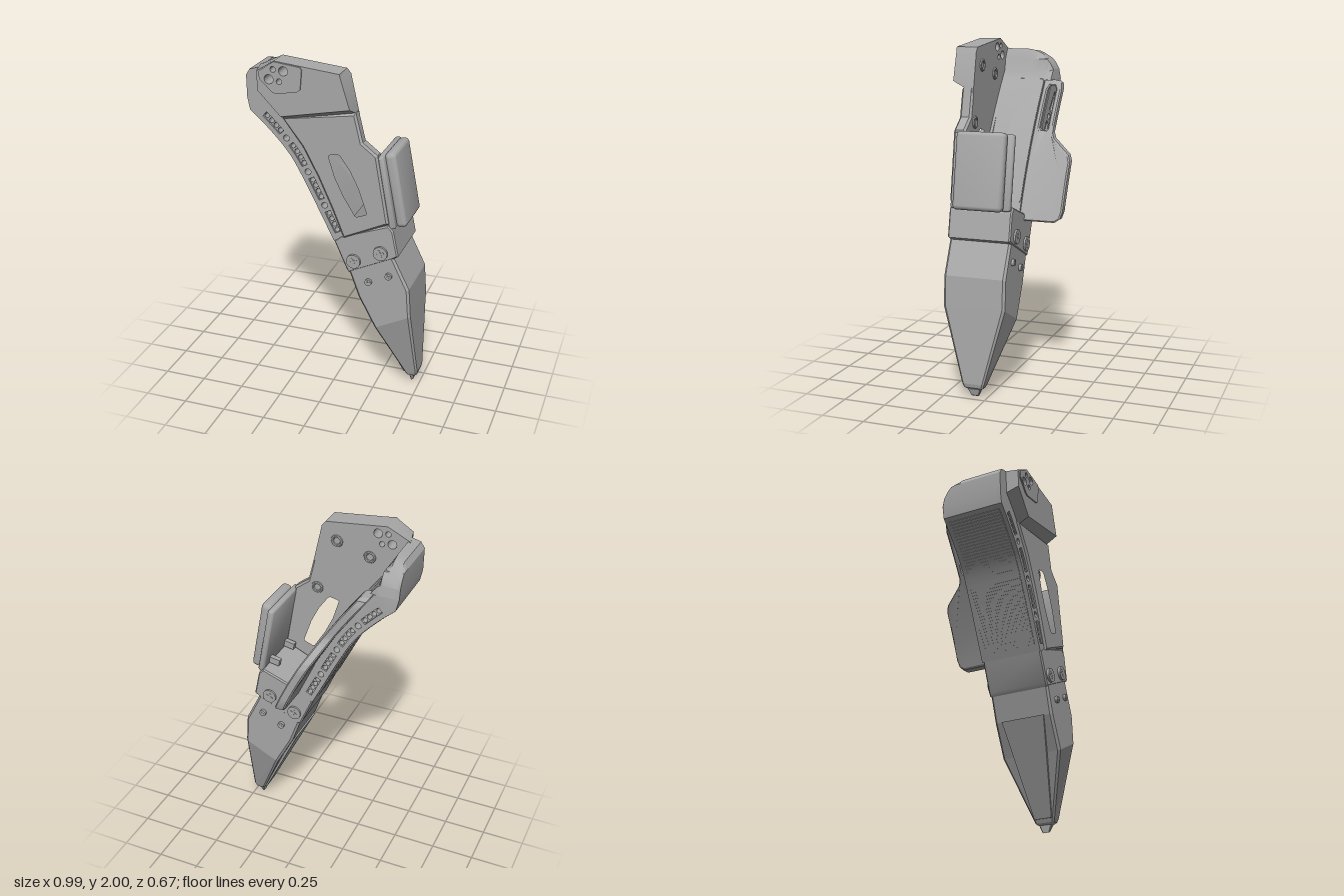
import * as THREE from 'three';
import { toCreasedNormals } from 'three/addons/utils/BufferGeometryUtils.js';
import { RoundedBoxGeometry } from 'three/addons/geometries/RoundedBoxGeometry.js';

const V = (p) => new THREE.Vector2(p[0], p[1]);

// Splits every edge of a closed outline so that it can be bent
function subdivide(pts, n) {
  return pts.flatMap((p, i) => {
    const q = pts[(i + 1) % pts.length];
    return Array.from({ length: n }, (_, k) => [p[0] + (q[0] - p[0]) * k / n, p[1] + (q[1] - p[1]) * k / n]);
  });
}

function circle(x, y, r) {
  return new THREE.Path().absarc(x, y, r, 0, Math.PI * 2);
}

// Flat outline extruded from z0 to z1, with optional holes and bevel
function slab(pts, z0, z1, { holes = [], bevel = 0, steps = 1 } = {}) {
  const shape = new THREE.Shape(pts.map(V));
  shape.holes.push(...holes);
  const g = new THREE.ExtrudeGeometry(shape, {
    depth: z1 - z0 - 2 * bevel, steps, curveSegments: 10, bevelEnabled: bevel > 0,
    bevelSize: bevel, bevelThickness: bevel, bevelOffset: -bevel, bevelSegments: 1,
  });
  return g.translate(0, 0, z0 + bevel);
}

function move(g, rule) {
  const p = g.attributes.position, v = new THREE.Vector3();
  for (let i = 0; i < p.count; i++) {
    rule(v.fromBufferAttribute(p, i));
    p.setXYZ(i, v.x, v.y, v.z);
  }
  return g;
}

// Inner curve of the spine: x as a function of y
const innerX = (y) => 0.12 - 0.5 * (y - 1) - 0.256 * (y - 1) * (y - 1.36);

// Sheet drawn in (-z, y), then wrapped along the inner curve
function bentSheet(pts, x0, x1, opts) {
  const g = slab(pts, x0, x1, opts).rotateY(Math.PI / 2);
  return move(g, (v) => { v.x += innerX(v.y); });
}

export function createModel() {
  const group = new THREE.Group();
  const grey = new THREE.MeshStandardMaterial({ color: 0xa8a8a8 });
  grey.name = 'grey';
  const add = (name, geo, parent = group) => {
    const m = new THREE.Mesh(toCreasedNormals(geo, 0.5), grey);
    m.name = name;
    parent.add(m);
    return m;
  };

  // Curved spine, pierced by rows of small holes
  const outer = new THREE.CatmullRomCurve3(
    [[-0.48, 1.68], [-0.385, 1.595], [-0.25, 1.445], [-0.145, 1.26], [-0.065, 1.1], [0.01, 0.95]]
      .map(([x, y]) => new THREE.Vector3(x, y, 0)));
  const inset = (t, d) => {
    const p = outer.getPointAt(t), n = outer.getTangentAt(t);
    return [p.x - n.y * d, p.y + n.x * d];
  };
  const spinePts = [[-0.42, 1.93], [-0.475, 1.915], [-0.497, 1.88], [-0.495, 1.75],
    ...outer.getPoints(24).map((p) => [p.x, p.y])];
  for (let i = 0; i <= 16; i++) {
    const y = 1 + i * 0.05;
    spinePts.push([innerX(y), y]);
  }
  spinePts.push([-0.385, 1.87]);
  const small = [], wide = [];
  for (let k = 0; k < 4; k++) {
    const t0 = 0.1 + k * 0.24, len = 0.12;
    for (let j = 0; j < 4; j++) small.push(circle(...inset(t0 + len * j / 3, 0.045), 0.014));
    const slot = [];
    for (let j = 0; j <= 6; j++) slot.push(inset(t0 - 0.016 + (len + 0.032) * j / 6, 0.027));
    for (let j = 6; j >= 0; j--) slot.push(inset(t0 - 0.016 + (len + 0.032) * j / 6, 0.063));
    wide.push(new THREE.Path(slot.map(V)));
    if (k < 3) {
      const c = inset(t0 + 0.18, 0.045);
      small.push(circle(...c, 0.018));
      wide.push(circle(...c, 0.018));
    }
  }
  // Rounds the rear top corner of the spine
  const roundTop = (v) => {
    const u = Math.min(1, Math.max(0, (0.08 - v.z) / 0.2));
    v.y = Math.min(v.y, 1.75 + 0.18 * Math.sqrt(1 - u * u));
  };
  add('spine', move(slab(spinePts, -0.11, 0.25, { holes: small, steps: 16 }), roundTop));
  add('spineFrontFace', move(slab(spinePts, 0.25, 0.26, { holes: wide }), roundTop));
  add('spineBackFace', move(slab(spinePts, -0.12, -0.11, { holes: wide }), roundTop));

  // Grip ribs on the outer curve
  const ribs = new THREE.Group();
  ribs.name = 'gripRibs';
  group.add(ribs);
  for (let i = 0; i < 44; i++) {
    const t = 0.04 + i * 0.021, p = outer.getPointAt(t), n = outer.getTangentAt(t);
    const rib = add('rib', new THREE.BoxGeometry(0.012, 0.014, 0.33), ribs);
    rib.position.set(p.x, p.y, 0.07);
    rib.rotation.z = Math.atan2(n.y, n.x);
  }

  // Panel on the inner curve
  add('innerPanel', bentSheet(subdivide(
    [[-0.17, 1.07], [0.06, 1.07], [0.07, 1.09], [0.07, 1.74], [0.06, 1.755], [-0.17, 1.755], [-0.18, 1.74], [-0.18, 1.09]], 10),
    -0.01, 0.007));

  // Rear fin with a loop at its top
  const loop = subdivide([[0.125, 1.47], [0.155, 1.47], [0.166, 1.485], [0.166, 1.7], [0.155, 1.72], [0.125, 1.72], [0.114, 1.7], [0.114, 1.485]], 6);
  add('rearFin', bentSheet(subdivide(
    [[0.08, 0.98], [0.295, 0.98], [0.325, 1], [0.335, 1.04], [0.335, 1.31], [0.32, 1.345], [0.215, 1.43], [0.2, 1.46], [0.2, 1.7], [0.19, 1.735], [0.165, 1.75], [0.08, 1.75]], 6),
    -0.025, 0.035, { holes: [new THREE.Path(loop.map(V))], bevel: 0.008 }));

  // Front plate with a long window
  const windowPts = [[-0.03, 1.47], [-0.01, 1.485], [0.04, 1.495], [0.06, 1.485], [0.12, 1.4], [0.17, 1.3], [0.22, 1.155], [0.215, 1.135], [0.15, 1.11], [0.13, 1.12], [0.06, 1.235], [0.01, 1.34]];
  add('frontPlate', slab(
    [[0.14, 1.73], [0.18, 1.565], [0.265, 1.5], [0.335, 1.1], [0.07, 0.975], [0, 1.15], [-0.08, 1.33], [-0.17, 1.5], [-0.29, 1.66]],
    0.2, 0.272, { holes: [new THREE.Path(windowPts.map(V))], bevel: 0.012 }));

  // Thick head, sloped at its lower edge and left side
  const headHoles = () => [[-0.245, 1.945, 0.026], [-0.33, 1.893, 0.026], [-0.305, 1.95, 0.016], [-0.27, 1.885, 0.016]]
    .map((h) => circle(...h));
  add('head', move(slab(
    [[-0.3, 1.995], [0.07, 1.957], [0.092, 1.93], [0.143, 1.7], [-0.27, 1.62], [-0.4, 1.755], [-0.405, 1.93]],
    0.2, 0.33, { holes: headHoles() }), (v) => {
    if (v.z > 0.3 && v.y < 1.76) v.y += 0.065;
    if (v.z > 0.3 && v.x > 0.08) v.x -= 0.015;
    if (v.z < 0.3 && v.x < -0.38) v.x -= 0.03;
  }));
  add('headPad', slab(
    [[-0.3, 1.993], [-0.15, 1.975], [-0.14, 1.96], [-0.15, 1.85], [-0.17, 1.835], [-0.29, 1.815], [-0.31, 1.82], [-0.385, 1.89], [-0.39, 1.93]],
    0.329, 0.337, { holes: headHoles() }));

  // Ring bosses on the rear of the plate and head
  [[0, 1.85], [-0.2, 1.79], [0.12, 1.53]].forEach(([x, y]) => {
    add('boss', new THREE.TorusGeometry(0.028, 0.009, 8, 20)).position.set(x, y, 0.2);
  });

  // Side pad and its backing slab
  const sidePad = new THREE.Group();
  sidePad.name = 'sidePad';
  sidePad.rotation.z = 0.185;
  sidePad.position.set(0.325, 1.28, 0.075);
  group.add(sidePad);
  add('padBacking', new RoundedBoxGeometry(0.04, 0.43, 0.36, 3, 0.015), sidePad).position.x = -0.012;
  add('padCushion', new RoundedBoxGeometry(0.065, 0.44, 0.295, 4, 0.025), sidePad).position.set(0.033, 0, 0);
  for (const z of [-0.1, 0.1]) add('padClip', new THREE.BoxGeometry(0.07, 0.04, 0.03), sidePad).position.set(-0.06, -0.16, z);

  // Neck block joining the upper body and the blade
  add('neck', slab([[0.01, 0.95], [0.05, 0.985], [0.33, 1.09], [0.36, 1.06], [0.392, 0.905], [0.36, 0.885], [0.1, 0.76], [0.085, 0.78]],
    -0.115, 0.262, { bevel: 0.008 }));

  // Tapered blade: left point, right point, half depth, corner cut
  const sections = [
    [[0.095, 0.78], [0.36, 0.9], 0.185, 0.012],
    [[0.155, 0.61], [0.458, 0.7], 0.185, 0.014],
    [[0.255, 0.42], [0.47, 0.53], 0.185, 0.014],
    [[0.415, 0.075], [0.492, 0.085], 0.066, 0.01],
    [[0.425, 0.055], [0.487, 0.062], 0.058, 0.01],
    [[0.437, 0.045], [0.468, 0.045], 0.04, 0.006],
    [[0.444, 0.0], [0.458, 0.008], 0.022, 0.004],
  ];
  const rings = sections.map(([l, r, h, c]) => {
    const k = c / Math.hypot(r[0] - l[0], r[1] - l[1]);
    const at = (t, z) => [l[0] + (r[0] - l[0]) * t, l[1] + (r[1] - l[1]) * t, 0.075 + z];
    return [at(0, h - c), at(k, h), at(1 - k, h), at(1, h - c), at(1, c - h), at(1 - k, -h), at(k, -h), at(0, c - h)];
  });
  const tris = [];
  for (let i = 0; i < rings.length - 1; i++) {
    for (let j = 0; j < 8; j++) {
      const n = (j + 1) % 8, A = rings[i], B = rings[i + 1];
      tris.push(...A[j], ...B[j], ...A[n], ...A[n], ...B[j], ...B[n]);
    }
  }
  const top = rings[0], end = rings[rings.length - 1];
  for (let j = 1; j < 7; j++) tris.push(...top[0], ...top[j], ...top[j + 1], ...end[0], ...end[j + 1], ...end[j]);
  const blade = new THREE.BufferGeometry();
  blade.setAttribute('position', new THREE.Float32BufferAttribute(tris, 3));
  blade.computeVertexNormals();
  const bladeMesh = new THREE.Mesh(blade, grey);
  bladeMesh.name = 'blade';
  group.add(bladeMesh);

  // Narrowing cover on the outer edge of the blade
  add('bladeCover', move(slab([[0.145, 0.61], [0.405, 0.075], [0.43, 0.08], [0.17, 0.62]], -0.06, 0.21), (v) => {
    if (v.y < 0.2) v.z = 0.075 + (v.z - 0.075) * 0.4;
  }));

  // Cross-head screws on both sides of the neck
  [[0.13, 0.84, 0.042], [0.29, 0.915, 0.042], [0.22, 0.72, 0.02], [0.34, 0.777, 0.02]].forEach(([x, y, r]) => {
    for (const s of [1, -1]) {
      const screw = new THREE.Group();
      screw.name = 'screw';
      screw.position.set(x, y, 0.075 + s * 0.19);
      group.add(screw);
      add('screwHead', new THREE.CylinderGeometry(r, r, 0.022, 24).rotateX(Math.PI / 2), screw);
      for (const a of [0.4, 0.4 + Math.PI / 2]) {
        const bar = add('screwCross', new THREE.BoxGeometry(r * 1.1, r * 0.25, 0.004), screw);
        bar.position.z = s * 0.011;
        bar.rotation.z = a;
      }
    }
  });

  return group;
}
